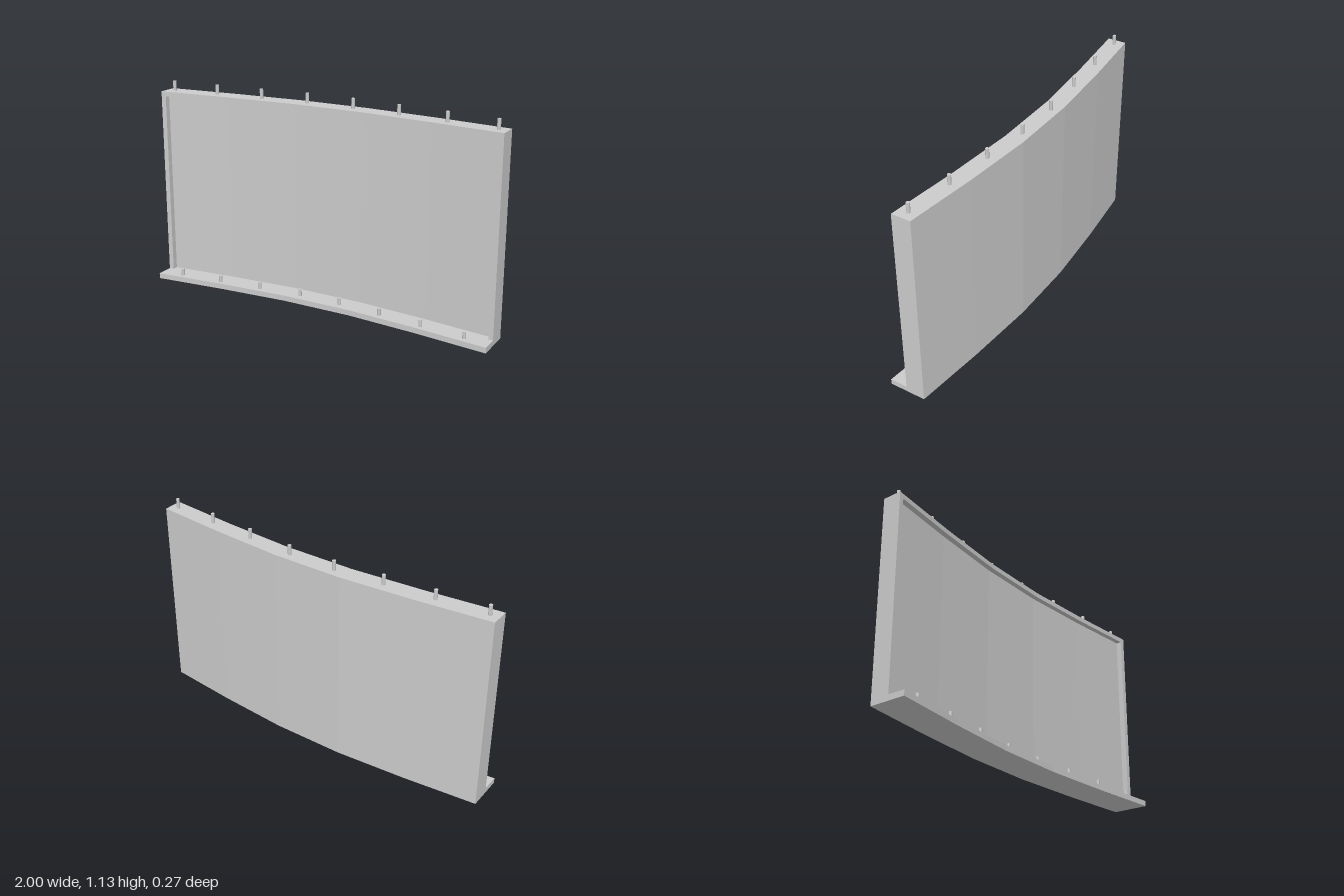
import * as THREE from 'three';

const grey = new THREE.MeshStandardMaterial({ color: 0xcccccc });

// Plan of the faceted curve: [x, z offset]
const CURVE = [[-1, 0], [-0.6, -0.042], [-0.2, -0.072], [0.2, -0.072], [0.6, -0.042], [1, 0]];
const BACK = -0.064, PANEL = 0.011, FRAME = 0.041, LEDGE = 0.136;
const BASE_TOP = 0.03, TOP = 1.08, BAR = 0.026;

function curveZ(x) {
  const i = Math.min(CURVE.length - 2, Math.max(0, CURVE.findIndex((p) => p[0] >= x) - 1));
  const [a, b] = [CURVE[i], CURVE[i + 1]];
  return a[1] + ((b[1] - a[1]) * (x - a[0])) / (b[0] - a[0]);
}

// Solid band following the curve from x0 to x1, z0 (back) to z1 (front), y0 to y1
function band(name, x0, x1, z0, z1, y0, y1) {
  const xs = [x0, ...CURVE.map((p) => p[0]).filter((x) => x > x0 && x < x1), x1];
  const edge = (z) => xs.map((x) => new THREE.Vector2(x, -(z + curveZ(x))));
  const shape = new THREE.Shape([...edge(z1), ...edge(z0).reverse()]);
  const geo = new THREE.ExtrudeGeometry(shape, { depth: y1 - y0, bevelEnabled: false });
  geo.rotateX(-Math.PI / 2).translate(0, y0, 0);
  const mesh = new THREE.Mesh(geo, grey);
  mesh.name = name;
  return mesh;
}

// Mirrored row of upright pins
function pinRow(name, points, y0, height) {
  const row = new THREE.Group();
  row.name = name;
  const geo = new THREE.CylinderGeometry(0.0095, 0.0095, height, 12);
  for (const [x, z] of points) {
    for (const side of [-1, 1]) {
      const pin = new THREE.Mesh(geo, grey);
      pin.name = 'pin';
      pin.position.set(side * x, y0 + height / 2, z);
      row.add(pin);
    }
  }
  return row;
}

export function createModel() {
  const model = new THREE.Group();
  model.name = 'curvedWallPanel';

  // Base slab with its projecting ledge, and the wall standing on it
  model.add(band('base', -1, 1, BACK, LEDGE, 0, BASE_TOP));
  model.add(band('wallPanel', -1, 1, BACK, PANEL, BASE_TOP, TOP));

  // Raised frame around the front
  model.add(band('frameTop', -1, 1, PANEL, FRAME, TOP - BAR, TOP));
  model.add(band('frameRight', -1, -1 + BAR, PANEL, FRAME, BASE_TOP, TOP - BAR));
  model.add(band('frameLeft', 1 - BAR, 1, PANEL, FRAME, BASE_TOP, TOP - BAR));

  // Pins on the top edge and on the ledge
  model.add(pinRow('topPins',
    [[0.951, -0.018], [0.68, -0.043], [0.408, -0.067], [0.136, -0.09]], TOP, 0.054));
  model.add(pinRow('ledgePins',
    [[0.866, 0.088], [0.618, 0.066], [0.371, 0.042], [0.123, 0.02]], BASE_TOP, 0.038));

  return model;
}
